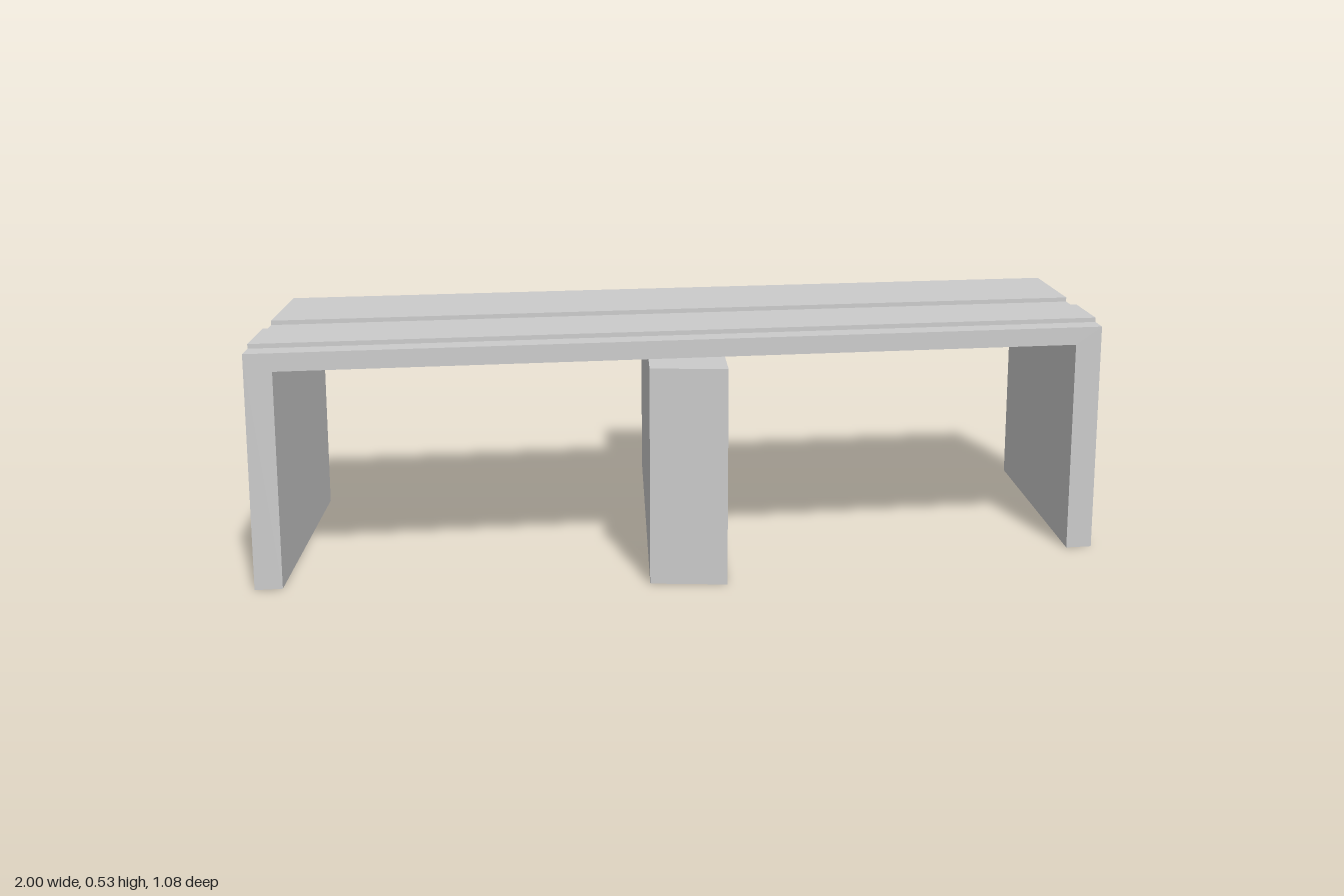
import * as THREE from 'three';

const HALF = 0.953;      // half length of the skewed deck
const SOFFIT = 0.48;     // underside of the deck
const DECK = 0.52;       // top of the deck

const material = new THREE.MeshStandardMaterial({ color: 0xcccccc, flatShading: true });

const polygon = (points) => new THREE.Shape(points.map(([x, y]) => new THREE.Vector2(x, y)));

// Slide x in proportion to z so the ends run at an angle to the deck.
function skew(geometry) {
  const p = geometry.attributes.position;
  for (let i = 0; i < p.count; i++) {
    p.setX(i, p.getX(i) - 0.136 * (p.getZ(i) - 0.05));
  }
  geometry.computeVertexNormals();
  return geometry;
}

// Extrude a front profile from zBack to zFront, then skew it.
function skewedPrism(points, zBack, zFront) {
  const geometry = new THREE.ExtrudeGeometry(polygon(points), {
    depth: zFront - zBack, bevelEnabled: false,
  });
  return skew(geometry.translate(0, 0, zBack));
}

export function createModel() {
  const model = new THREE.Group();
  const add = (name, geometry) => {
    const mesh = new THREE.Mesh(geometry, material);
    mesh.name = name;
    model.add(mesh);
  };

  // Deck and both end walls as one portal profile
  const inner = HALF - 0.06;
  add('deckAndEndWalls', skewedPrism([
    [-HALF, 0], [-inner, 0], [-inner, SOFFIT], [inner, SOFFIT],
    [inner, 0], [HALF, 0], [HALF, DECK], [-HALF, DECK],
  ], -0.3, 0.4));

  // Raised lanes on the deck, with a shallow channel between them
  const lane = [[-HALF, DECK], [HALF, DECK], [HALF, 0.53], [-HALF, 0.53]];
  add('frontLane', skewedPrism(lane, 0.16, 0.34));
  add('backLane', skewedPrism(lane, -0.25, 0.06));

  // Central pier, from its plan outline (y of the outline is -z)
  const pier = new THREE.ExtrudeGeometry(
    polygon([[-0.15, -0.5], [0.015, -0.535], [0.16, 0.532], [-0.01, 0.54]]),
    { depth: SOFFIT, bevelEnabled: false },
  );
  add('centralPier', pier.rotateX(-Math.PI / 2));

  return model;
}
